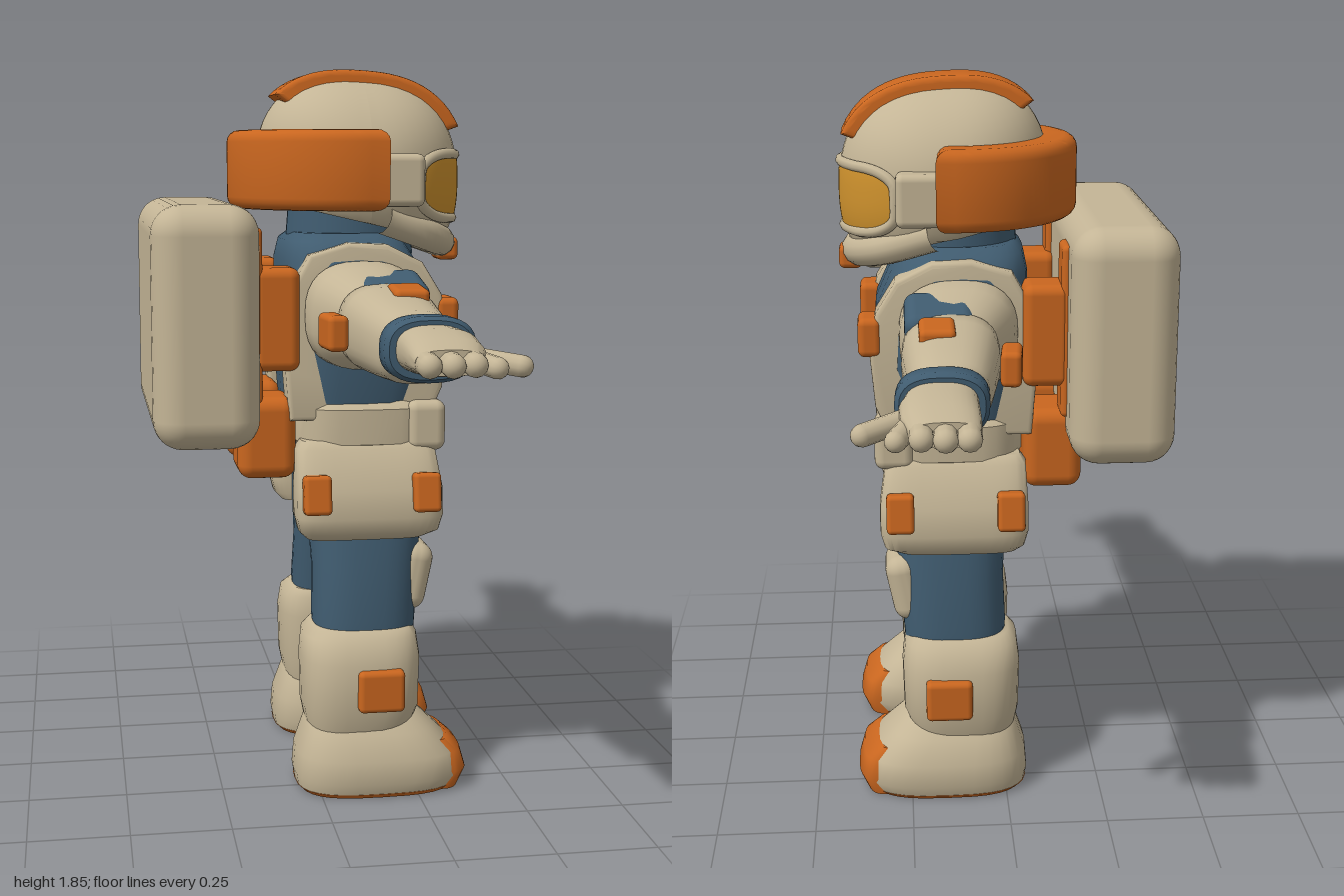
import * as THREE from 'three';
import { toCreasedNormals } from 'three/addons/utils/BufferGeometryUtils.js';
import { RoundedBoxGeometry } from 'three/addons/geometries/RoundedBoxGeometry.js';

const flat = (name, color, side = THREE.FrontSide) => {
  const m = new THREE.MeshStandardMaterial({ color, side });
  m.name = name;
  return m;
};

// Closed loft along y from sections [y, halfX, halfZ, centreX, centreZ] with superellipse outlines
function loft(sections, power = 2.6, n = 32) {
  const pos = [], idx = [];
  const bend = (v) => Math.sign(v) * Math.abs(v) ** (2 / power);
  for (const [y, hx, hz, cx, cz] of sections)
    for (let j = 0; j < n; j++) {
      const a = (j / n) * Math.PI * 2;
      pos.push(cx + hx * bend(Math.cos(a)), y, cz + hz * bend(Math.sin(a)));
    }
  const rows = sections.length, base = rows * n, last = sections[rows - 1];
  pos.push(sections[0][3], sections[0][0], sections[0][4], last[3], last[0], last[4]);
  for (let j = 0; j < n; j++) {
    const k = (j + 1) % n;
    for (let i = 0; i < rows - 1; i++) {
      const a = i * n + j, b = i * n + k, c = b + n, d = a + n;
      idx.push(a, d, b, b, d, c);
    }
    idx.push(base, j, k, base + 1, (rows - 1) * n + k, (rows - 1) * n + j);
  }
  const g = new THREE.BufferGeometry();
  g.setAttribute('position', new THREE.Float32BufferAttribute(pos, 3));
  g.setIndex(idx);
  return toCreasedNormals(g, 0.8);
}

// Side profile (depth, height) extruded to a given width across the body
function sideSlab(points, width, bevel) {
  const shape = new THREE.Shape(points.map(([d, y]) => new THREE.Vector2(d, y)));
  const g = new THREE.ExtrudeGeometry(shape, { depth: width - 2 * bevel, bevelThickness: bevel, bevelSize: bevel, bevelOffset: -bevel, bevelSegments: 3 });
  g.translate(0, 0, bevel - width / 2).rotateY(-Math.PI / 2);
  return toCreasedNormals(g, 0.6);
}

// Helmet surface point for a direction: round across, boxier along the depth, tilted slightly forward
function shellPoint(x, y, z, k = 1) {
  const p = 2.5;
  const r = Math.sqrt((Math.abs(y) ** p + Math.abs(z) ** p) ** (2 / p) + x * x);
  const dz = (0.265 * k * z) / r;
  const py = 1.585 + (0.25 * k * y) / r - 0.06 * dz;
  return new THREE.Vector3((0.25 * k * x) / r, Math.max(py, 1.465 - 0.23 * dz), 0.14 + dz);
}

// Visor surface from a square with softened corners
function visorPoint(u, v, k) {
  const lon = u * 1.07 * (1 - 0.06 * v ** 4);
  return shellPoint(Math.sin(lon), -0.06 + 0.32 * v * (1 - 0.18 * u ** 8), Math.cos(lon), k);
}

export function createModel() {
  const cream = flat('cream suit', 0xc4b596);
  const orange = flat('orange trim', 0xc9661f);
  const blue = flat('blue fabric', 0x405c70);
  const gold = flat('gold visor', 0xcf922d, THREE.DoubleSide);

  const root = new THREE.Group();
  const body = new THREE.Group();
  body.name = 'astronaut';
  body.rotation.y = Math.PI / 2; // the figure looks along +x
  root.add(body);

  const add = (name, geo, mat) => {
    const m = new THREE.Mesh(geo, mat);
    m.name = name;
    body.add(m);
    return m;
  };
  const block = (name, mat, size, at, radius = 0.02, rot = [0, 0, 0]) => {
    const m = add(name, new RoundedBoxGeometry(...size, 4, radius), mat);
    m.position.set(...at);
    m.rotation.set(...rot);
    return m;
  };
  const finger = (name, from, to, r) => {
    const a = new THREE.Vector3(...from), b = new THREE.Vector3(...to), d = b.clone().sub(a);
    const m = add(name, new THREE.CapsuleGeometry(r, d.length(), 6, 12), cream);
    m.position.copy(a).add(b).multiplyScalar(0.5);
    m.quaternion.setFromUnitVectors(new THREE.Vector3(0, 1, 0), d.normalize());
  };

  // Torso, neck, hips and belt
  add('torso', loft([[0.9, 0.24, 0.17, 0, 0.125], [1.0, 0.255, 0.18, 0, 0.12], [1.15, 0.275, 0.2, 0, 0.13],
    [1.28, 0.275, 0.195, 0, 0.125], [1.37, 0.25, 0.175, 0, 0.105], [1.42, 0.21, 0.155, 0, 0.095], [1.44, 0.17, 0.13, 0, 0.095]], 3.2), blue);
  add('neck', new THREE.CylinderGeometry(0.16, 0.17, 0.13, 32).translate(0, 1.445, 0.12), blue);
  add('hips', loft([[0.75, 0.05, 0.1, 0, 0.135], [0.8, 0.14, 0.14, 0, 0.135], [0.92, 0.24, 0.16, 0, 0.135]]), blue);
  add('belt', loft([[0.895, 0.255, 0.175, 0, 0.135], [0.91, 0.272, 0.192, 0, 0.135], [1.0, 0.272, 0.192, 0, 0.135],
    [1.02, 0.25, 0.175, 0, 0.135]], 3.6), cream);

  // Helmet shell
  const shell = new THREE.SphereGeometry(1, 48, 32), sp = shell.attributes.position;
  for (let i = 0; i < sp.count; i++) {
    const p = shellPoint(sp.getX(i), sp.getY(i), sp.getZ(i));
    sp.setXYZ(i, p.x, p.y, p.z);
  }
  shell.computeVertexNormals();
  add('helmet', shell, cream);

  // Visor and its raised rim
  const visor = new THREE.PlaneGeometry(2, 2, 32, 12), vp = visor.attributes.position;
  for (let i = 0; i < vp.count; i++) {
    const p = visorPoint(vp.getX(i), vp.getY(i), 1.012);
    vp.setXYZ(i, p.x, p.y, p.z);
  }
  visor.computeVertexNormals();
  add('visor', visor, gold);
  const rim = [];
  for (let i = 0; i < 48; i++) {
    const a = (i / 48) * Math.PI * 2, c = Math.cos(a), s = Math.sin(a);
    rim.push(visorPoint(1.01 * Math.sign(c) * Math.abs(c) ** 0.3, 1.06 * Math.sign(s) * Math.abs(s) ** 0.3, 1.0));
  }
  add('visorRim', new THREE.TubeGeometry(new THREE.CatmullRomCurve3(rim, true), 120, 0.014, 8, true), cream);

  // Crest over the crown, following the helmet outline
  const crest = [[0.14, 1.62]];
  for (let i = 0; i <= 24; i++) {
    const a = THREE.MathUtils.degToRad(30 + i * 4.5);
    const p = shellPoint(0, Math.sin(a), Math.cos(a), 1.065);
    crest.push([p.z, p.y]);
  }
  add('helmetCrest', sideSlab(crest, 0.17, 0.015), orange);

  // Thick collar wrapping round the back of the helmet
  const arc = new THREE.Shape();
  arc.absarc(0, 0, 0.29, -0.06, Math.PI + 0.06, false);
  arc.absarc(0, 0, 0.23, Math.PI + 0.06, -0.06, true);
  const wrap = new THREE.ExtrudeGeometry(arc, { depth: 0.14, bevelThickness: 0.03, bevelSize: 0.03, bevelSegments: 4, curveSegments: 32 });
  wrap.translate(0, 0, -0.07).rotateX(-Math.PI / 2).translate(0, 1.6, 0.12);
  add('helmetWrap', toCreasedNormals(wrap, 0.6), orange);

  // Chin guard
  const chin = new THREE.CatmullRomCurve3([[-0.21, 1.48, 0.17], [-0.15, 1.435, 0.3], [0, 1.41, 0.365], [0.15, 1.435, 0.3], [0.21, 1.48, 0.17]]
    .map((p) => new THREE.Vector3(...p)));
  add('chinGuard', new THREE.TubeGeometry(chin, 32, 0.04, 12), cream);
  block('chinVent', orange, [0.08, 0.06, 0.06], [0, 1.392, 0.382], 0.015);

  // Backpack
  block('backpack', cream, [0.79, 0.6, 0.265], [0, 1.22, -0.288], 0.075);

  for (const s of [1, -1]) {
    // Helmet ear piece and harness
    block('earPiece', cream, [0.08, 0.13, 0.13], [s * 0.25, 1.575, 0.2], 0.018);
    const strap = sideSlab([[0.29, 0.97], [0.325, 1.05], [0.338, 1.2], [0.32, 1.29], [0.27, 1.37], [0.18, 1.415], [0.08, 1.42],
      [-0.02, 1.39], [-0.07, 1.3], [-0.08, 1.1], [-0.07, 0.97]], 0.09, 0.012);
    add('shoulderStrap', strap.translate(s * 0.2, 0, 0), cream);
    block('strapBuckle', orange, [0.105, 0.1, 0.06], [s * 0.197, 1.23, 0.335], 0.018);
    block('packMount', orange, [0.13, 0.26, 0.12], [s * 0.2, 1.23, -0.105], 0.025);
    block('packPlate', orange, [0.1, 0.44, 0.03], [s * 0.215, 1.24, -0.155], 0.014);
    block('backPouch', orange, [0.18, 0.21, 0.15], [s * 0.15, 0.925, -0.125], 0.035);
    block('beltBlock', cream, [0.12, 0.13, 0.1], [s * 0.215, 0.955, 0.28], 0.025);

    // Hip pouch with tabs
    add('hipPouch', loft([[0.67, 0.06, 0.15, s * 0.24, 0.12], [0.69, 0.075, 0.18, s * 0.25, 0.13], [0.73, 0.08, 0.19, s * 0.255, 0.13],
      [0.8, 0.075, 0.19, s * 0.25, 0.13], [0.9, 0.055, 0.18, s * 0.225, 0.125], [0.92, 0.04, 0.165, s * 0.22, 0.125]], 4.5), cream);
    for (const z of [-0.012, 0.268]) block('pouchTab', orange, [0.05, 0.1, 0.07], [s * 0.325, 0.795, z], 0.012, [0, 0, s * 0.15]);

    // Leg, knee pad, shin cuff and its tab
    add('leg', loft([[0.38, 0.105, 0.13, s * 0.195, 0.13], [0.45, 0.112, 0.135, s * 0.19, 0.13], [0.58, 0.12, 0.138, s * 0.165, 0.137],
      [0.7, 0.127, 0.148, s * 0.145, 0.14], [0.82, 0.12, 0.15, s * 0.125, 0.14], [0.92, 0.11, 0.14, s * 0.12, 0.14]]), blue);
    block('kneePad', cream, [0.165, 0.18, 0.09], [s * 0.175, 0.55, 0.255], 0.04, [0.2, 0, 0]);
    add('shinCuff', loft([[0.16, 0.12, 0.135, s * 0.215, 0.11], [0.22, 0.135, 0.152, s * 0.217, 0.115], [0.35, 0.138, 0.155, s * 0.217, 0.115],
      [0.41, 0.125, 0.148, s * 0.205, 0.115], [0.43, 0.108, 0.132, s * 0.197, 0.12]], 3), cream);
    block('shinTab', orange, [0.05, 0.11, 0.12], [s * 0.35, 0.285, 0.15], 0.014);

    // Boot, sole and toe cap
    add('boot', loft([[0.01, 0.145, 0.21, s * 0.225, 0.155], [0.04, 0.155, 0.222, s * 0.225, 0.162], [0.1, 0.152, 0.212, s * 0.225, 0.157],
      [0.16, 0.125, 0.17, s * 0.222, 0.135], [0.205, 0.09, 0.14, s * 0.22, 0.12], [0.22, 0.075, 0.12, s * 0.22, 0.115]], 3), cream);
    add('sole', loft([[0, 0.138, 0.2, s * 0.225, 0.155], [0.012, 0.147, 0.212, s * 0.225, 0.155]], 3), orange);
    add('toeCap', loft([[0.002, 0.115, 0.06, s * 0.222, 0.31], [0.05, 0.122, 0.063, s * 0.222, 0.328], [0.1, 0.112, 0.06, s * 0.222, 0.317],
      [0.13, 0.098, 0.045, s * 0.222, 0.298]], 3.2), orange);

    // Arm parts, given as [reach, halfHeight, halfDepth, height, depth]
    const limb = (name, mat, rows, power) => add(name,
      loft(rows.map(([t, hy, hz, y, z]) => [t, hy, hz, -s * y, z]), power).rotateZ((-s * Math.PI) / 2), mat);
    limb('shoulder', cream, [[0.2, 0.12, 0.13, 1.25, 0.11], [0.25, 0.135, 0.148, 1.24, 0.115], [0.3, 0.128, 0.142, 1.235, 0.12],
      [0.42, 0.095, 0.105, 1.23, 0.14]]);
    block('shoulderPatch', blue, [0.17, 0.08, 0.17], [s * 0.35, 1.305, 0.165], 0.03, [0, 0, -s * 0.2]);
    limb('sleeve', cream, [[0.39, 0.09, 0.1, 1.23, 0.14], [0.41, 0.104, 0.117, 1.228, 0.14], [0.47, 0.104, 0.117, 1.225, 0.142],
      [0.6, 0.092, 0.102, 1.215, 0.148], [0.69, 0.083, 0.09, 1.21, 0.153], [0.71, 0.07, 0.078, 1.212, 0.158]]);
    block('sleeveTopTab', orange, [0.11, 0.05, 0.085], [s * 0.505, 1.308, 0.175], 0.014, [0, 0, -s * 0.08]);
    block('sleeveBackTab', orange, [0.11, 0.085, 0.05], [s * 0.485, 1.225, 0.0], 0.014, [0, -s * 0.1, 0]);
    limb('wristBand', blue, [[0.7, 0.066, 0.095, 1.213, 0.17], [0.712, 0.075, 0.105, 1.213, 0.17], [0.758, 0.075, 0.105, 1.213, 0.172],
      [0.77, 0.066, 0.095, 1.213, 0.172]]);
    limb('palm', cream, [[0.75, 0.055, 0.08, 1.215, 0.172], [0.82, 0.052, 0.088, 1.215, 0.18], [0.89, 0.042, 0.086, 1.212, 0.178],
      [0.95, 0.028, 0.075, 1.208, 0.17]]);
    for (const [z, tip] of [[0.122, 0.972], [0.172, 0.975], [0.222, 0.965]])
      finger('finger', [s * 0.86, 1.212, z], [s * tip, 1.205, z], 0.027);
    finger('indexFinger', [s * 0.84, 1.205, 0.235], [s * 0.945, 1.195, 0.275], 0.024);
    finger('thumb', [s * 0.8, 1.205, 0.225], [s * 0.885, 1.19, 0.345], 0.025);
  }
  return root;
}
